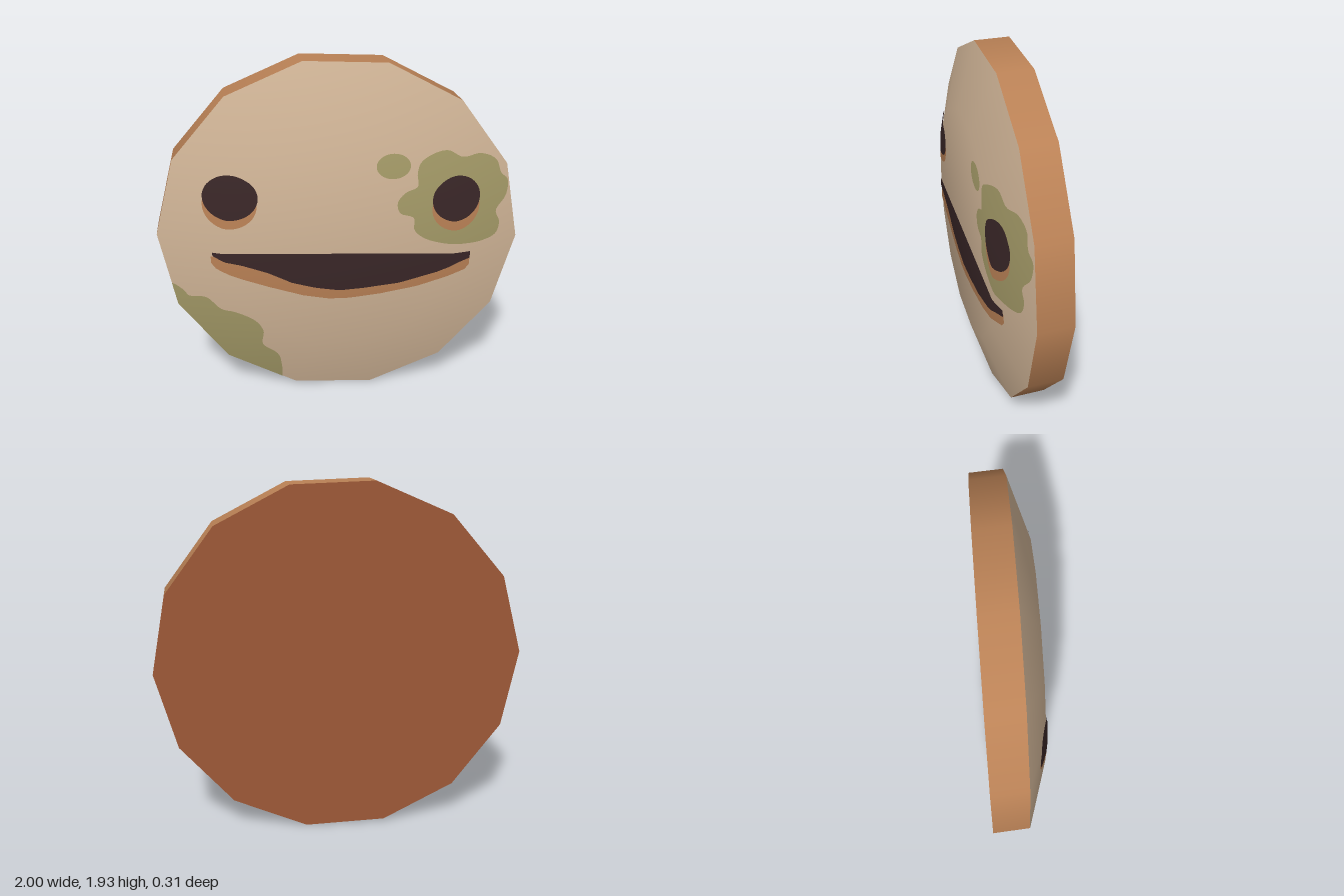
import * as THREE from 'three';

const SIDES = 14, PHASE = THREE.MathUtils.degToRad(-2);
const RX = 0.994, RY = 0.981, CY = 0.965, SHIFT = 0.006;
const RIM_Z = 0.04, FACE_Z = 0.15, BACK_Z = -0.15, FLAT = 0.65;
const STEP = (Math.PI * 2) / SIDES;

const mat = (name, color) => new THREE.MeshStandardMaterial({ name, color });

// Point on the domed front for a given x, y: flat centre, sloping out to the rim.
function onDome(x, y, lift) {
  let dx = (x - SHIFT) / RX, dy = (y - CY) / RY;
  let t = 0;
  for (let i = 0; i < SIDES; i++) {
    const a = PHASE + (i + 0.5) * STEP;
    t = Math.max(t, (dx * Math.cos(a) + dy * Math.sin(a)) / Math.cos(STEP / 2));
  }
  if (t > 1) { dx /= t; dy /= t; t = 1; }
  const slope = Math.max(0, (t - FLAT) / (1 - FLAT));
  return {
    p: [dx * RX + SHIFT, dy * RY + CY, FACE_Z + (RIM_Z - FACE_Z) * slope + lift],
    n: new THREE.Vector3(0.31 * dx, 0.31 * dy, 1).normalize(),
  };
}

// Sheet laid over the dome; at(u, v) gives the x, y of each grid point.
function sheet(name, material, nu, nv, lift, at) {
  const g = new THREE.PlaneGeometry(1, 1, nu, nv);
  const pos = g.attributes.position, nor = g.attributes.normal;
  for (let i = 0; i < pos.count; i++) {
    const [x, y] = at(pos.getX(i) + 0.5, pos.getY(i) + 0.5);
    const { p, n } = onDome(x, y, lift);
    pos.setXYZ(i, ...p);
    nor.setXYZ(i, n.x, n.y, n.z);
  }
  const m = new THREE.Mesh(g, material);
  m.name = name;
  return m;
}

// Patch filled from a centre out to a clockwise smooth outline.
function patch(name, material, lift, centre, points) {
  const curve = new THREE.CatmullRomCurve3(
    points.map(([x, y]) => new THREE.Vector3(x, y, 0)), true, 'centripetal');
  return sheet(name, material, 96, 12, lift, (u, v) => {
    const q = curve.getPoint(u % 1);
    return [centre[0] + (q.x - centre[0]) * v, centre[1] + (q.y - centre[1]) * v];
  });
}

function oval(name, material, lift, x, y, rx, ry) {
  return sheet(name, material, 40, 8, lift, (u, v) => [
    x + rx * v * Math.cos(-u * Math.PI * 2), y + ry * v * Math.sin(-u * Math.PI * 2)]);
}

// Height along a polyline of [x, y] points.
function heightAt(line, x) {
  for (let i = 1; i < line.length; i++) {
    const [x0, y0] = line[i - 1], [x1, y1] = line[i];
    if (x <= x1) return y0 + ((y1 - y0) * (x - x0)) / (x1 - x0);
  }
  return line[line.length - 1][1];
}

// Band between a top and a bottom line.
function band(name, material, lift, top, bottom) {
  const x0 = top[0][0], x1 = top[top.length - 1][0];
  return sheet(name, material, 60, 6, lift, (u, v) => {
    const x = x0 + (x1 - x0) * u, b = heightAt(bottom, x);
    return [x, b + (heightAt(top, x) - b) * v];
  });
}

export function createModel() {
  const group = new THREE.Group();
  group.name = 'faceDisc';
  const tan = mat('tan', 0xd2b698);
  const crust = mat('crust', 0xbb8256);
  const brown = mat('backBrown', 0x9f5a38);
  const dark = mat('dark', 0x3a2728);
  const green = mat('mouldGreen', 0xa59b68);

  // Domed front
  group.add(sheet('front', tan, SIDES * 4, 20, 0, (u, v) => {
    const s = u * SIDES, k = Math.min(Math.floor(s + 1e-6), SIDES - 1), f = s - k;
    const a = PHASE - k * STEP, b = a - STEP;
    const mix = (fn) => (fn(a) * (1 - f) + fn(b) * f) * v;
    return [SHIFT + RX * mix(Math.cos), CY + RY * mix(Math.sin)];
  }));

  // Rim wall, leaning slightly sideways
  const wall = new THREE.CylinderGeometry(
    1, 1, RIM_Z - BACK_Z, SIDES, 1, true, PHASE + Math.PI / 2);
  wall.rotateX(Math.PI / 2);
  wall.scale(RX, RY, 1);
  wall.translate(0, CY, (RIM_Z + BACK_Z) / 2);
  const wp = wall.attributes.position;
  for (let i = 0; i < wp.count; i++) {
    wp.setX(i, wp.getX(i) + (wp.getZ(i) > -0.05 ? SHIFT : -SHIFT));
  }
  const rim = new THREE.Mesh(wall, crust);
  rim.name = 'rim';
  group.add(rim);

  // Flat back
  const disc = new THREE.CircleGeometry(1, SIDES, -PHASE);
  disc.rotateY(Math.PI);
  disc.scale(RX, RY, 1);
  disc.translate(-SHIFT, CY, BACK_Z);
  const back = new THREE.Mesh(disc, brown);
  back.name = 'back';
  group.add(back);

  // Green patches
  group.add(patch('eyePatch', green, 0.003, [0.63, 1.19], [
    [0.46, 1.44], [0.57, 1.465], [0.66, 1.42], [0.76, 1.43], [0.85, 1.39], [0.885, 1.31],
    [0.925, 1.27], [0.92, 1.18], [0.865, 1.1], [0.89, 1.03], [0.87, 0.965], [0.78, 0.935],
    [0.68, 0.935], [0.57, 0.945], [0.46, 0.98], [0.405, 1.03], [0.4, 1.1], [0.325, 1.13],
    [0.31, 1.19], [0.35, 1.245], [0.415, 1.28], [0.41, 1.35], [0.425, 1.41]]));
  group.add(oval('smallSpot', green, 0.003, 0.283, 1.395, 0.09, 0.07));
  group.add(patch('lowerPatch', green, 0.003, [-0.66, 0.4], [
    [-0.935, 0.7], [-0.87, 0.67], [-0.84, 0.635], [-0.74, 0.635], [-0.66, 0.56], [-0.58, 0.545],
    [-0.47, 0.495], [-0.43, 0.43], [-0.435, 0.32], [-0.355, 0.25], [-0.335, 0.18],
    [-0.345, 0.04], [-0.5, 0.08], [-0.67, 0.18], [-0.8, 0.36], [-0.95, 0.55]]));

  // Eyes with a lower lip of crust
  group.add(oval('rightEyeLip', crust, 0.005, -0.582, 1.195, 0.145, 0.13));
  group.add(oval('rightEye', dark, 0.007, -0.577, 1.238, 0.147, 0.123));
  group.add(oval('leftEyeLip', crust, 0.005, 0.63, 1.15, 0.133, 0.13));
  group.add(oval('leftEye', dark, 0.007, 0.63, 1.2, 0.133, 0.126));

  // Grinning mouth with a lower lip of crust
  group.add(band('mouthLip', crust, 0.005, [[-0.697, 0.9], [0.725, 0.86]], [
    [-0.697, 0.86], [-0.67, 0.825], [-0.53, 0.765], [-0.39, 0.715], [-0.2, 0.655], [-0.06, 0.63],
    [0.05, 0.63], [0.22, 0.65], [0.43, 0.69], [0.6, 0.745], [0.7, 0.77], [0.725, 0.8]]));
  group.add(band('mouth', dark, 0.007, [[-0.687, 0.925], [0.725, 0.882]], [
    [-0.687, 0.905], [-0.63, 0.875], [-0.53, 0.85], [-0.39, 0.8], [-0.26, 0.735], [-0.13, 0.7],
    [0, 0.68], [0.13, 0.69], [0.33, 0.715], [0.54, 0.775], [0.65, 0.82], [0.725, 0.84]]));
  return group;
}
